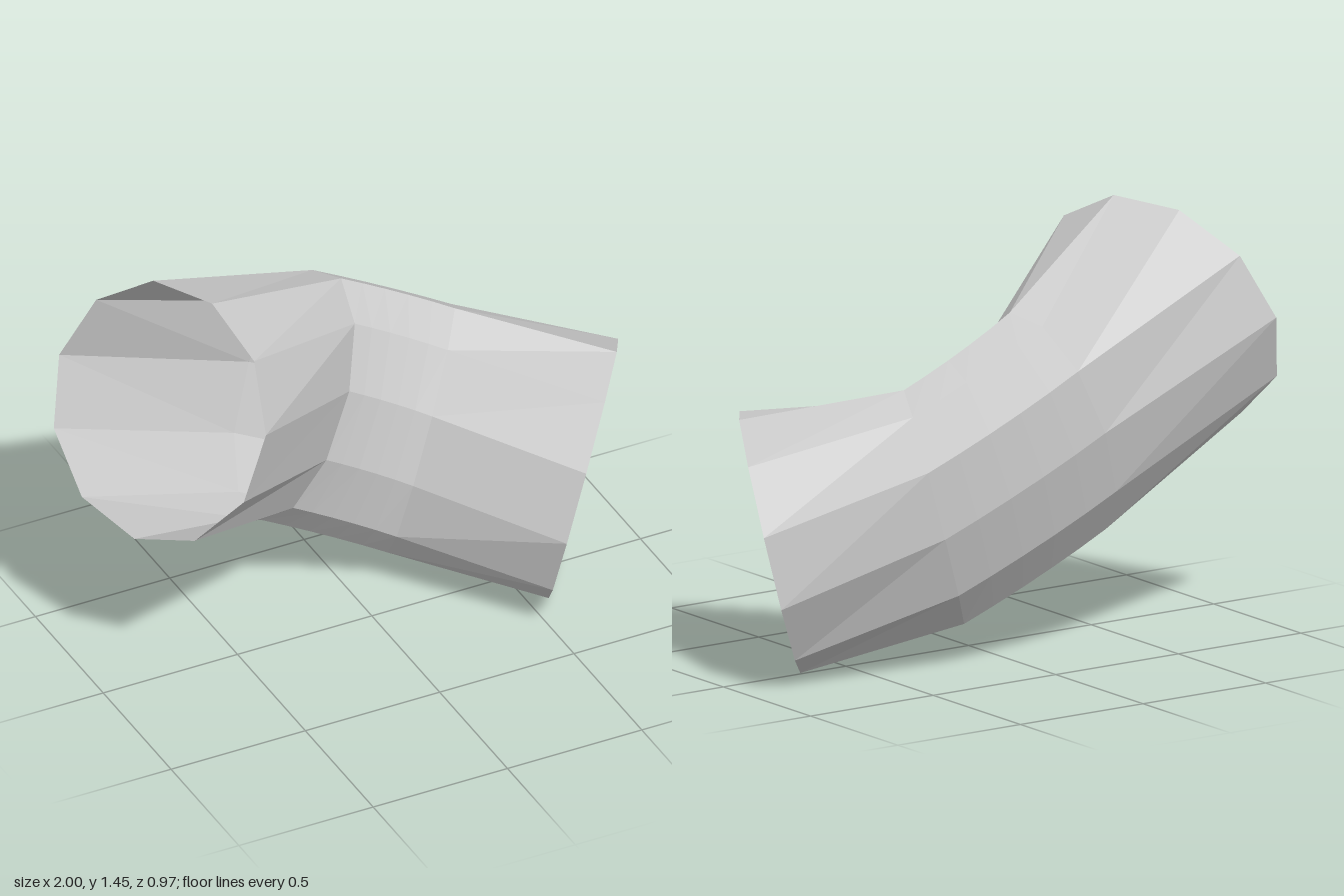
import * as THREE from 'three';

const SIDES = 11;
const START = THREE.MathUtils.degToRad(9);
const V = (x, y, z) => new THREE.Vector3(x, y, z);

// An elliptical cross-section: centre, upward half axis, inward half axis
const ring = (centre, up, inward) => ({ centre, up, inward });

const openLeft = ring(V(-0.783, 1.055, -0.018), V(0.16, 0.41, -0.038), V(0.161, -0.018, 0.422));
const bendStart = ring(V(-0.16, 0.79, -0.255), V(0.172, 0.413, -0.045), V(0.055, 0, 0.23));
const bendEnd = ring(V(0.284, 0.556, -0.198), V(0.153, 0.419, -0.054), V(-0.097, 0.062, 0.207));
const openRight = ring(V(0.731, 0.439, 0.115), V(0.159, 0.418, -0.06), V(-0.214, 0.136, 0.372));

// Blend two cross-sections, bowing slightly outward between them
function blend(a, b, s) {
  const r = ring(
    a.centre.clone().lerp(b.centre, s),
    a.up.clone().lerp(b.up, s),
    a.inward.clone().lerp(b.inward, s)
  );
  r.centre.addScaledVector(r.inward, -0.25 * s * (1 - s));
  return r;
}

// Skin a row of cross-sections into an open tube
function tube(name, rings, material) {
  const positions = [];
  const index = [];
  for (const r of rings) {
    for (let j = 0; j < SIDES; j++) {
      const t = START + (j / SIDES) * Math.PI * 2;
      const p = r.centre.clone()
        .addScaledVector(r.up, Math.cos(t))
        .addScaledVector(r.inward, Math.sin(t));
      positions.push(p.x, p.y, p.z);
    }
  }
  for (let i = 0; i < rings.length - 1; i++) {
    for (let j = 0; j < SIDES; j++) {
      const k = (j + 1) % SIDES;
      const a = i * SIDES + j, b = i * SIDES + k;
      const c = a + SIDES, d = b + SIDES;
      index.push(a, b, c, b, d, c);
    }
  }
  const geometry = new THREE.BufferGeometry();
  geometry.setAttribute('position', new THREE.Float32BufferAttribute(positions, 3));
  geometry.setIndex(index);
  geometry.computeVertexNormals();
  const mesh = new THREE.Mesh(geometry, material);
  mesh.name = name;
  return mesh;
}

export function createModel() {
  const group = new THREE.Group();
  group.name = 'bentPipe';
  const material = new THREE.MeshStandardMaterial({
    color: 0xcccccc, flatShading: true, side: THREE.DoubleSide,
  });

  // Elbow made of several narrow bands
  const bands = 5;
  const elbow = Array.from({ length: bands + 1 }, (_, i) => blend(bendStart, bendEnd, i / bands));

  group.add(
    tube('rightFlaredPipe', [openLeft, bendStart], material),
    tube('elbow', elbow, material),
    tube('leftFlaredPipe', [bendEnd, openRight], material)
  );
  return group;
}
